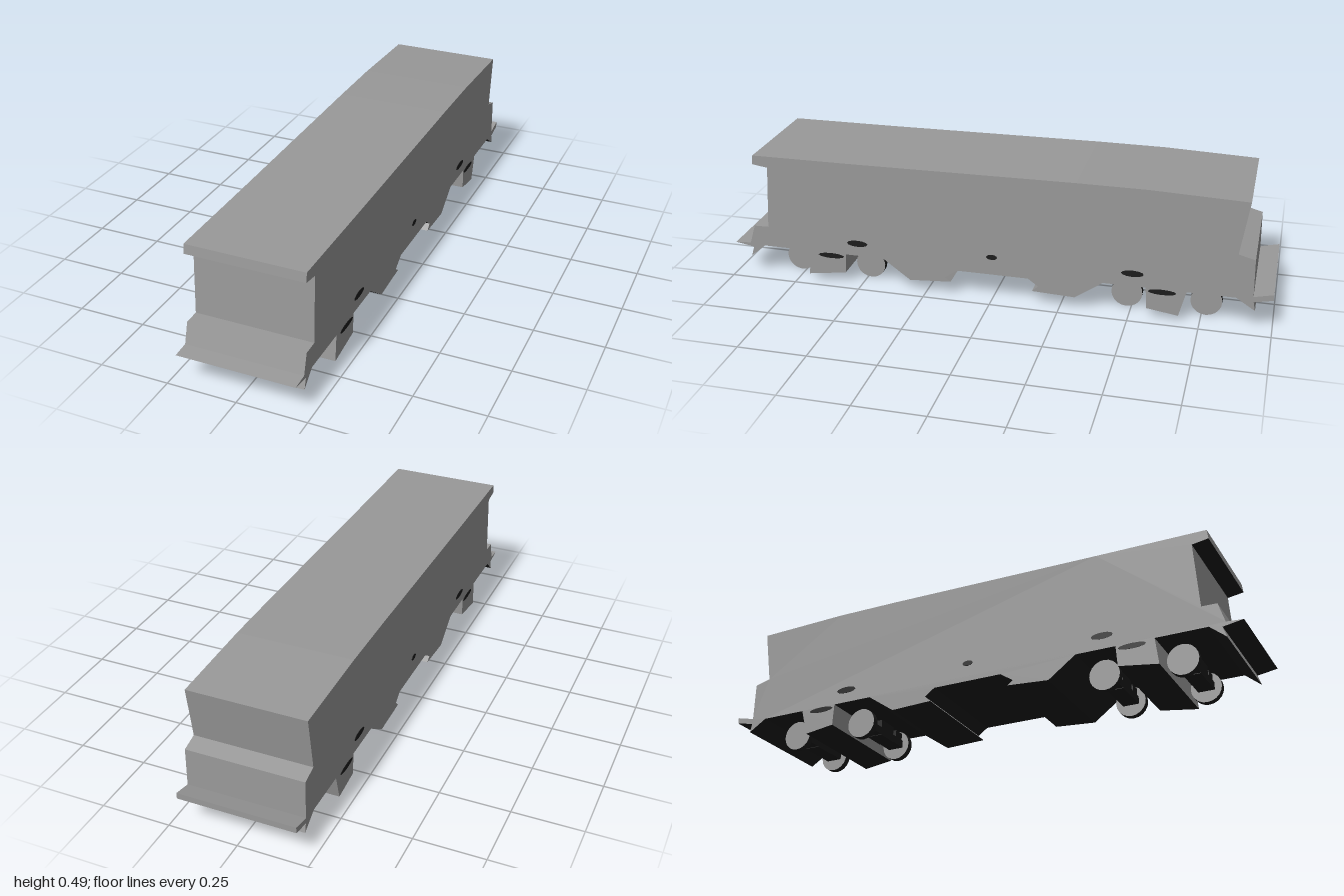
import * as THREE from 'three';

const HALF = 0.211; // half width of the body

export function createModel() {
  const model = new THREE.Group();
  model.name = 'railCar';
  const grey = new THREE.MeshStandardMaterial({ color: 0x999999 });
  grey.name = 'bodyGrey';
  const dark = new THREE.MeshStandardMaterial({ color: 0x1c1c1c });
  dark.name = 'undersideBlack';

  const add = (parent, name, geometry, material, x = 0, y = 0, z = 0) => {
    const mesh = new THREE.Mesh(geometry, material);
    mesh.name = name;
    mesh.position.set(x, y, z);
    parent.add(mesh);
    return mesh;
  };

  // Body: side outline as (z, y), swept across the full width
  const outline = [
    // roof, front to rear
    [0.9, 0.478], [0.5, 0.48], [-0.3, 0.488], [-0.55, 0.488], [-0.895, 0.477],
    // rear end and coupling plate
    [-0.866, 0.283], [-0.925, 0.267], [-0.928, 0.128], [-0.997, 0.144],
    [-0.997, 0.122], [-0.93, 0.108], [-0.937, 0.075], [-0.87, 0.118],
    // rear bogie
    [-0.7, 0.118], [-0.675, 0.022], [-0.562, 0.038], [-0.557, 0.118],
    [-0.405, 0.118], [-0.305, 0.048],
    // centre skirt
    [-0.15, 0.054], [-0.171, 0.075], [-0.134, 0.102], [0.128, 0.102],
    [0.176, 0.07], [0.155, 0.054], [0.31, 0.043],
    // front bogie
    [0.412, 0.118], [0.557, 0.118], [0.562, 0.043], [0.706, 0.022],
    [0.695, 0.118], [0.88, 0.118],
    // front end and coupling plate
    [0.937, 0.07], [0.925, 0.108], [0.997, 0.12], [0.937, 0.124],
    [0.915, 0.196], [0.86, 0.197], [0.845, 0.435], [0.904, 0.444],
  ];
  const shape = new THREE.Shape(outline.map(([z, y]) => new THREE.Vector2(z, y)));
  const body = new THREE.ExtrudeGeometry(shape, { depth: 2 * HALF, bevelEnabled: false });
  body.translate(0, 0, -HALF);
  body.rotateY(-Math.PI / 2);

  // Faces pointing down are black, all others grey
  body.clearGroups();
  const normal = body.attributes.normal;
  for (let i = 0; i < normal.count; i += 3) {
    body.addGroup(i, 3, normal.getY(i) < -0.7 ? 1 : 0);
  }
  add(model, 'body', body, [grey, dark]);

  // Wheel sets: two wheels, an axle and its boxes
  const wheel = new THREE.CylinderGeometry(0.056, 0.056, 0.025, 20);
  wheel.rotateZ(Math.PI / 2);
  const axle = new THREE.CylinderGeometry(0.014, 0.014, 0.24, 8);
  axle.rotateZ(Math.PI / 2);
  for (const z of [0.765, 0.487, -0.482, -0.765]) {
    const set = new THREE.Group();
    set.name = 'wheelSet';
    set.position.set(0, 0.056, z);
    model.add(set);
    add(set, 'axle', axle, dark);
    add(set, 'axleBeam', new THREE.BoxGeometry(0.235, 0.028, 0.06), dark);
    add(set, 'motorBox', new THREE.BoxGeometry(0.084, 0.06, 0.06), dark, 0, 0.014);
    for (const side of [-1, 1]) {
      add(set, 'wheel', wheel, [dark, grey, grey], side * 0.127);
      add(set, 'axleBox', new THREE.BoxGeometry(0.045, 0.04, 0.05), dark, side * 0.094, 0.024);
    }
  }

  // Small dark patches on both flanks: z, y, half length, half height
  const patches = [
    [0.51, 0.167, 0.04, 0.012], [-0.508, 0.167, 0.04, 0.012], [0, 0.171, 0.02, 0.01],
    [0.615, 0.107, 0.05, 0.01], [-0.615, 0.107, 0.05, 0.01],
  ];
  const disc = new THREE.CylinderGeometry(1, 1, 1, 12);
  disc.rotateZ(Math.PI / 2);
  for (const side of [-1, 1]) {
    for (const [z, y, length, height] of patches) {
      const patch = add(model, 'sidePatch', disc, dark, side * HALF, y, z);
      patch.scale.set(0.003, height, length);
    }
  }
  return model;
}
